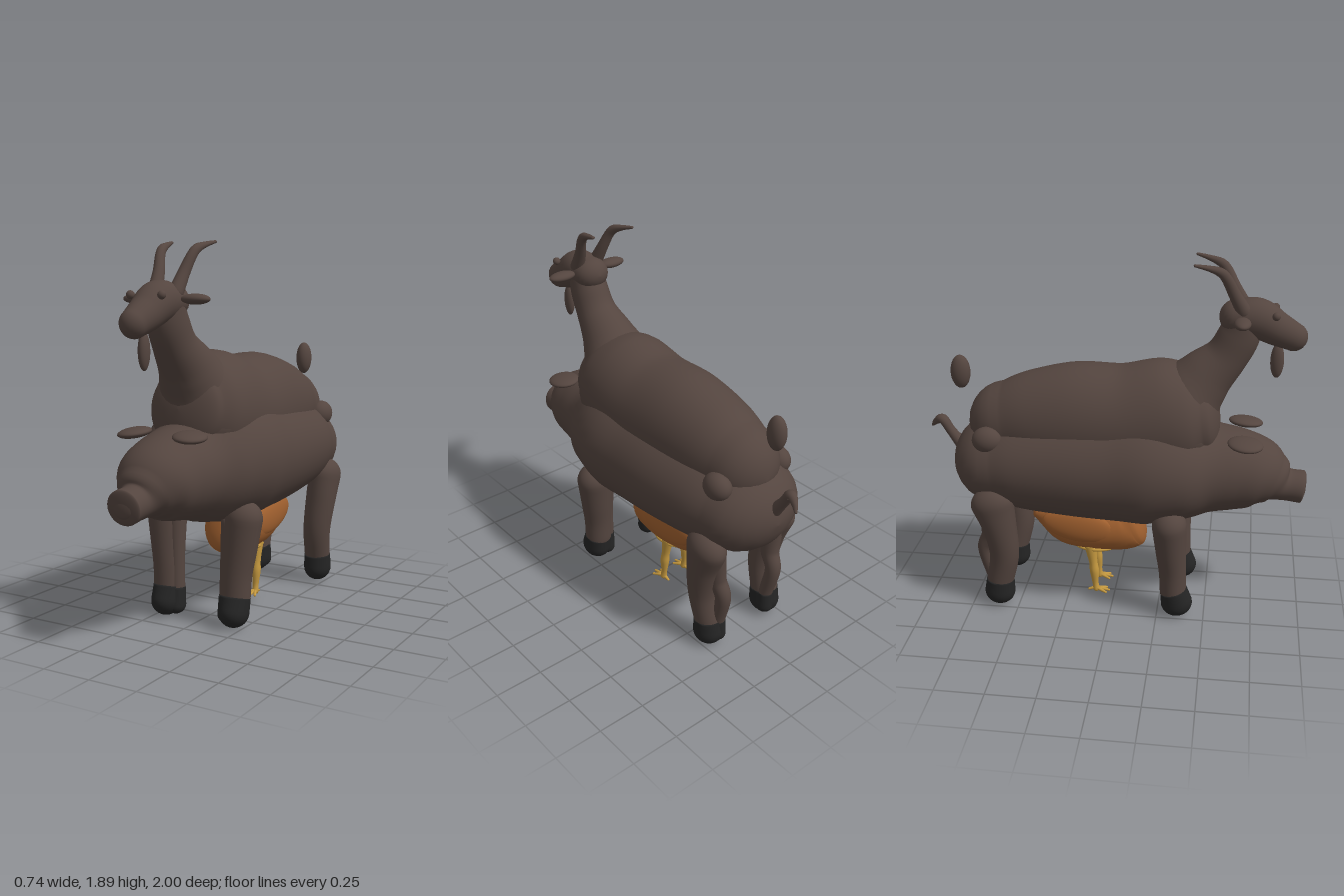
import * as THREE from 'three';

const mat = (name, color) => Object.assign(new THREE.MeshStandardMaterial({ color }), { name });

// Smooth skin through elliptical sections [x, y, z, halfWidth, halfHeight], with domed ends
function loft(sections, { around = 28, steps = 6, domeStart = 1, domeEnd = 1 } = {}) {
  const path = new THREE.CatmullRomCurve3(sections.map(s => new THREE.Vector3(s[0], s[1], s[2])), false, 'catmullrom', 0.5);
  const size = new THREE.CatmullRomCurve3(sections.map(s => new THREE.Vector3(s[3], s[4], 0)), false, 'catmullrom', 0.5);
  const n = (sections.length - 1) * steps;
  const rings = [];
  const add = (t, angle, dome, dir) => {
    const c = path.getPoint(t), r = size.getPoint(t), tan = path.getTangent(t);
    c.addScaledVector(tan, dir * Math.sin(angle) * dome * Math.min(r.x, r.y));
    rings.push({ c, tan, w: r.x * Math.cos(angle), h: r.y * Math.cos(angle) });
  };
  const k = 7;
  for (let i = k; i > 0; i--) add(0, i / k * 1.569, domeStart, -1);
  for (let i = 0; i <= n; i++) add(i / n, 0, 0, 1);
  for (let i = 1; i <= k; i++) add(1, i / k * 1.569, domeEnd, 1);
  const pos = [], idx = [];
  for (const { c, tan, w, h } of rings) {
    const side = new THREE.Vector3(1, 0, 0).addScaledVector(tan, -tan.x).normalize();
    const up = new THREE.Vector3().crossVectors(tan, side);
    for (let j = 0; j < around; j++) {
      const a = j / around * Math.PI * 2;
      const p = c.clone().addScaledVector(side, Math.cos(a) * w).addScaledVector(up, Math.sin(a) * h);
      pos.push(p.x, p.y, p.z);
    }
  }
  for (let i = 0; i < rings.length - 1; i++) for (let j = 0; j < around; j++) {
    const a = i * around + j, b = i * around + (j + 1) % around;
    idx.push(a, b, a + around, b, b + around, a + around);
  }
  const g = new THREE.BufferGeometry();
  g.setAttribute('position', new THREE.Float32BufferAttribute(pos, 3));
  g.setIndex(idx);
  g.computeVertexNormals();
  return g;
}

export function createModel() {
  const group = new THREE.Group();
  const hide = mat('brown hide', 0x54453f);
  const hoofMat = mat('black hoof', 0x242424);
  const feather = mat('orange feather', 0xa0602f);
  const gold = mat('gold leg', 0xc4983f);

  const put = (name, geometry, material) => {
    const m = new THREE.Mesh(geometry, material);
    m.name = name;
    group.add(m);
    return m;
  };
  const skin = (name, material, sections, options) => put(name, loft(sections, options), material);
  const blob = (name, material, [x, y, z], [rx, ry, rz], rot = [0, 0, 0]) => {
    const m = put(name, new THREE.SphereGeometry(1, 24, 16), material);
    m.position.set(x, y, z);
    m.scale.set(rx, ry, rz);
    m.rotation.set(...rot);
    return m;
  };

  // Pig: body, head and snout in one skin
  skin('pigBody', hide, [
    [0, 0.79, -0.62, 0.285, 0.238], [0, 0.80, -0.48, 0.32, 0.275],
    [0, 0.81, -0.22, 0.35, 0.308], [0, 0.815, 0.00, 0.36, 0.325], [0, 0.82, 0.20, 0.367, 0.338],
    [0, 0.80, 0.38, 0.32, 0.285], [0, 0.795, 0.51, 0.25, 0.238], [0, 0.79, 0.64, 0.218, 0.215],
    [0, 0.775, 0.75, 0.195, 0.185], [0, 0.745, 0.83, 0.142, 0.135], [0, 0.717, 0.89, 0.092, 0.088],
    [0, 0.705, 0.98, 0.09, 0.085],
  ], { around: 40, domeEnd: 0.2 });
  blob('snoutPad', hide, [0, 0.71, 0.985], [0.06, 0.056, 0.015]);
  skin('pigTail', hide, [
    [0, 0.84, -0.82, 0.036, 0.036], [0, 0.92, -0.88, 0.026, 0.026], [0.005, 0.985, -0.925, 0.028, 0.026],
    [0.02, 0.965, -0.965, 0.016, 0.018], [0.035, 0.937, -0.99, 0.008, 0.008],
  ], { around: 14 });

  // Goat: body, neck and head rising from the pig's back
  skin('goatBody', hide, [
    [0, 1.00, -0.57, 0.20, 0.212], [0, 1.02, -0.42, 0.235, 0.258],
    [0, 1.03, -0.20, 0.26, 0.30], [0, 1.03, 0.05, 0.27, 0.30], [0, 1.06, 0.26, 0.27, 0.31],
    [0, 1.08, 0.38, 0.25, 0.275], [0, 1.09, 0.46, 0.20, 0.21],
  ], { around: 40, domeEnd: 0.4 });
  skin('goatNeck', hide, [
    [0, 1.03, 0.33, 0.25, 0.21], [0, 1.17, 0.37, 0.205, 0.185], [0, 1.29, 0.455, 0.145, 0.145],
    [0, 1.40, 0.555, 0.107, 0.11], [0, 1.51, 0.615, 0.098, 0.105], [0, 1.60, 0.64, 0.092, 0.09],
  ]);
  skin('goatHead', hide, [
    [0, 1.61, 0.60, 0.095, 0.085], [0, 1.605, 0.70, 0.098, 0.10], [0, 1.555, 0.80, 0.083, 0.085],
    [0, 1.515, 0.885, 0.066, 0.07],
  ]);
  blob('goatBeard', hide, [0, 1.39, 0.81], [0.025, 0.09, 0.034]);
  blob('goatTail', hide, [0, 1.26, -0.81], [0.042, 0.09, 0.052]);

  // Hen body slung beneath the belly, with a gold underside
  skin('henBody', feather, [
    [0, 0.45, 0.10, 0.115, 0.145], [0, 0.425, 0.03, 0.135, 0.145], [0, 0.425, -0.14, 0.145, 0.145],
    [0, 0.45, -0.28, 0.12, 0.14], [0, 0.49, -0.42, 0.07, 0.05],
  ], { domeStart: 0.5, domeEnd: 0.5 });
  blob('henUnderside', gold, [0, 0.30, -0.10], [0.10, 0.026, 0.13]);

  for (const s of [1, -1]) {
    const side = s > 0 ? 'left' : 'right';
    const limb = (name, material, sections, options) =>
      skin(side + name, material, sections.map(([x, ...rest]) => [s * x, ...rest]), options);
    const ball = (name, material, [x, y, z], r, rot = [0, 0, 0]) =>
      blob(side + name, material, [s * x, y, z], r, [rot[0], s * rot[1], s * rot[2]]);

    // Goat features; the horns kink backward near the top
    limb('GoatHorn', hide, [
      [0.058, 1.65, 0.635, 0.036, 0.038], [0.07, 1.74, 0.585, 0.029, 0.03], [0.087, 1.815, 0.547, 0.024, 0.026],
      [0.096, 1.85, 0.515, 0.022, 0.023], [0.108, 1.87, 0.46, 0.018, 0.014], [0.123, 1.885, 0.395, 0.01, 0.007],
    ], { around: 16 });
    ball('GoatEar', hide, [0.16, 1.62, 0.63], [0.077, 0.025, 0.042]);
    ball('GoatEye', hide, [0.085, 1.64, 0.79], [0.02, 0.02, 0.02]);
    ball('GoatHaunch', hide, [0.195, 0.965, -0.635], [0.062, 0.07, 0.08]);

    // Pig features
    ball('PigEar', hide, [0.155, 0.994, 0.675], [0.08, 0.025, 0.09], [0.08, 0, -0.1]);
    ball('PigEye', hide, [0.115, 0.885, 0.797], [0.014, 0.014, 0.014]);

    // Front leg pair with hooves
    limb('FrontLeg', hide, [
      [0.232, 0.55, 0.31, 0.095, 0.09], [0.218, 0.40, 0.32, 0.085, 0.08],
      [0.205, 0.27, 0.33, 0.077, 0.072], [0.2, 0.15, 0.335, 0.075, 0.07],
    ]);
    limb('FrontHoof', hoofMat, [[0.2, 0.155, 0.337, 0.077, 0.072], [0.2, 0.08, 0.355, 0.076, 0.084]],
      { domeStart: 0.1 });
    limb('InnerFrontLeg', hide, [
      [0.16, 0.52, 0.31, 0.05, 0.055], [0.155, 0.32, 0.325, 0.043, 0.045], [0.15, 0.15, 0.33, 0.04, 0.045],
    ]);
    limb('InnerFrontHoof', hoofMat, [[0.15, 0.155, 0.33, 0.042, 0.048], [0.152, 0.06, 0.335, 0.048, 0.056]],
      { domeStart: 0.1 });

    // Hind leg pair with hooves
    limb('HindLeg', hide, [
      [0.235, 0.62, -0.615, 0.085, 0.115], [0.225, 0.48, -0.585, 0.082, 0.09],
      [0.21, 0.31, -0.57, 0.075, 0.078], [0.2, 0.15, -0.60, 0.07, 0.072],
    ], { domeStart: 1.1 });
    limb('HindHoof', hoofMat, [[0.2, 0.155, -0.60, 0.073, 0.074], [0.2, 0.08, -0.605, 0.075, 0.082]],
      { domeStart: 0.1 });
    limb('InnerHindLeg', hide, [
      [0.20, 0.58, -0.62, 0.06, 0.08], [0.185, 0.42, -0.64, 0.045, 0.055],
      [0.175, 0.32, -0.68, 0.04, 0.042], [0.17, 0.15, -0.64, 0.038, 0.038],
    ]);
    limb('InnerHindHoof', hoofMat, [[0.17, 0.155, -0.64, 0.04, 0.04], [0.17, 0.07, -0.635, 0.045, 0.052]],
      { domeStart: 0.1 });

    // Hen wing, leg and toes
    ball('HenWing', feather, [0.12, 0.455, -0.18], [0.035, 0.09, 0.20], [0.15, 0, 0]);
    limb('HenLeg', gold, [
      [0.07, 0.31, -0.125, 0.03, 0.034], [0.072, 0.22, -0.112, 0.022, 0.023], [0.073, 0.16, -0.105, 0.024, 0.025],
      [0.073, 0.09, -0.10, 0.016, 0.017], [0.073, 0.05, -0.095, 0.018, 0.018],
    ], { around: 14 });
    for (const [dx, dz] of [[0, 0.07], [0.027, 0.055], [-0.027, 0.055], [0, -0.04]])
      limb('HenToe', gold, [
        [0.073, 0.055, -0.095, 0.011, 0.011], [0.073 + dx, 0.043, -0.095 + dz, 0.007, 0.006],
      ], { around: 10, steps: 3 });
  }
  return group;
}
